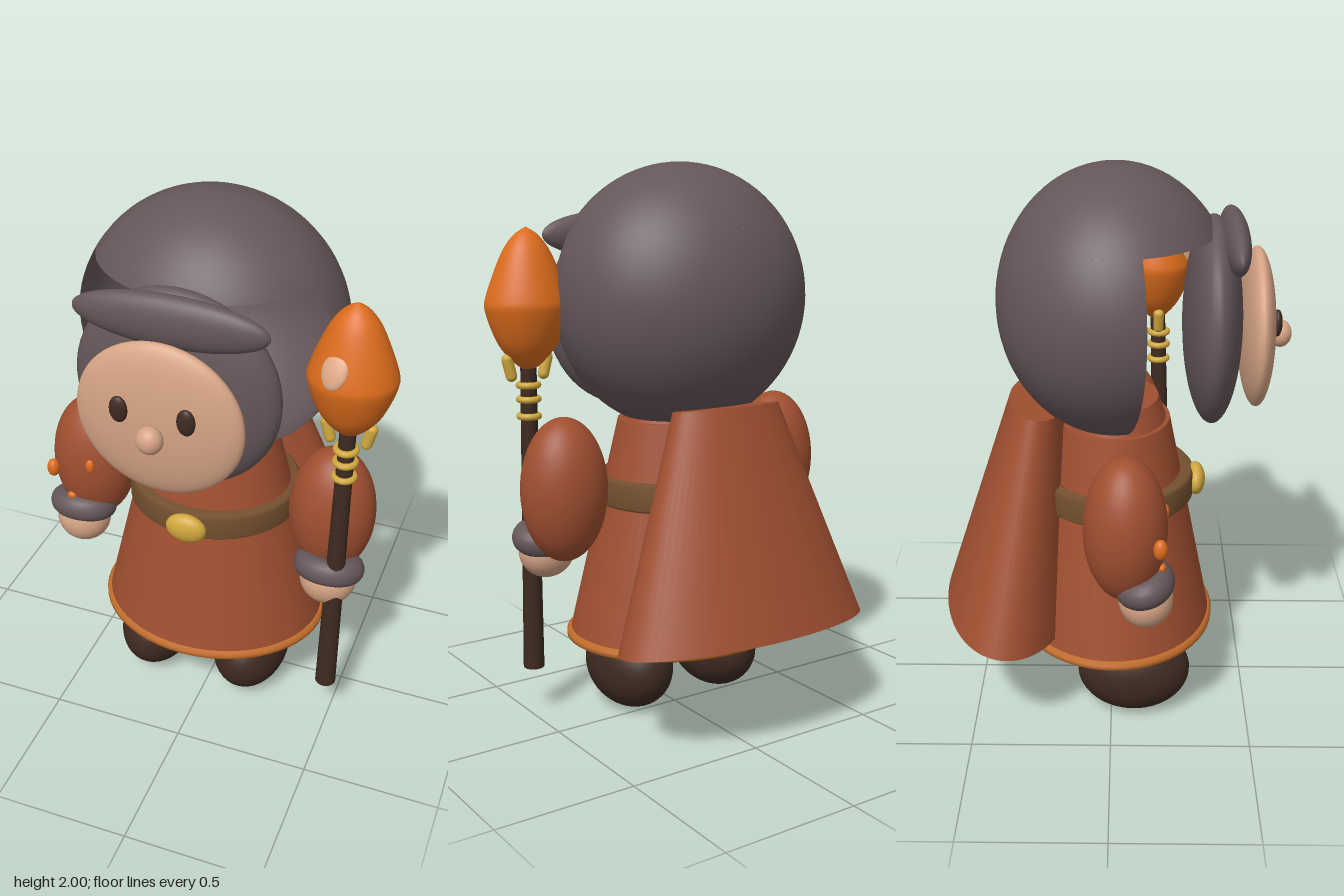
import * as THREE from 'three';

const CX = -0.03; // centre line of the body

export function createModel() {
  const model = new THREE.Group();
  model.name = 'cloakedFigure';

  const mat = (name, color, side = THREE.FrontSide) => {
    const m = new THREE.MeshStandardMaterial({ color, side });
    m.name = name;
    return m;
  };
  const grey = mat('hoodGrey', 0x655659, THREE.DoubleSide);
  const rust = mat('rustCloth', 0xa04f30);
  const orange = mat('flameOrange', 0xdc6c1c);
  const trim = mat('hemOrange', 0xc06c2a);
  const skin = mat('skin', 0xd6a485);
  const dark = mat('darkBrown', 0x3e2a20);
  const gold = mat('gold', 0xd0a83e);
  const leather = mat('beltBrown', 0x74502f);
  const legBrown = mat('legBrown', 0x946840);
  const glint = mat('paleGlow', 0xdfaa86);

  const add = (name, geometry, material, x = 0, y = 0, z = 0) => {
    const mesh = new THREE.Mesh(geometry, material);
    mesh.name = name;
    mesh.position.set(x, y, z);
    model.add(mesh);
    return mesh;
  };
  const ball = (name, material, [x, y, z], [rx, ry, rz]) => {
    const mesh = add(name, new THREE.SphereGeometry(1, 40, 28), material, x, y, z);
    mesh.scale.set(rx, ry, rz);
    return mesh;
  };
  const lathe = (points, segments = 48) =>
    new THREE.LatheGeometry(points.map(([r, y]) => new THREE.Vector2(r, y)), segments);

  // Hood: full crown above, open at the front below the crown
  const crownAngle = 1.01;
  const opening = THREE.MathUtils.degToRad(15);
  const hoodParts = {
    hoodCrown: new THREE.SphereGeometry(1, 48, 14, 0, Math.PI * 2, 0, crownAngle),
    hoodSides: new THREE.SphereGeometry(1, 40, 24, Math.PI - opening, Math.PI + 2 * opening, crownAngle, 2.93 - crownAngle),
  };
  for (const [name, geometry] of Object.entries(hoodParts)) {
    add(name, geometry, grey, CX, 1.53, 0.01).scale.set(0.47, 0.47, 0.41);
  }
  ball('hoodRim', grey, [CX, 1.46, 0.347], [0.355, 0.362, 0.103]);
  ball('hoodBrim', grey, [CX + 0.005, 1.742, 0.415], [0.328, 0.09, 0.05]);

  // Face
  ball('face', skin, [CX, 1.435, 0.5], [0.285, 0.277, 0.063]);
  ball('nose', skin, [CX, 1.41, 0.585], [0.045, 0.048, 0.04]);
  for (const s of [-1, 1]) {
    ball(s < 0 ? 'rightEye' : 'leftEye', dark, [CX + s * 0.113, 1.485, 0.56], [0.031, 0.047, 0.017]);
  }

  // Robe with collar, hem and belt, all slightly flattened front to back
  const flatten = 0.84;
  const robe = add('robe', new THREE.CylinderGeometry(0.235, 0.425, 0.79, 56), rust, CX, 0.705, 0.01);
  const collar = add('collar', new THREE.CylinderGeometry(0.185, 0.225, 0.1, 48), rust, CX, 1.13, 0.01);
  const hem = add('hem', lathe([[0, 0.295], [0.425, 0.295], [0.437, 0.303], [0.437, 0.318], [0.425, 0.33], [0.4, 0.33]], 56), trim, CX, 0, 0.01);
  const belt = add('belt', lathe([[0.28, 0.8], [0.307, 0.8], [0.318, 0.81], [0.318, 0.89], [0.307, 0.9], [0.26, 0.9]], 56), leather, CX, 0, 0.01);
  for (const part of [robe, collar, hem, belt]) part.scale.z = flatten;
  belt.scale.z = 0.9;
  ball('buckle', gold, [CX, 0.85, 0.305], [0.075, 0.057, 0.035]);

  // Cape: a tilted, flattened cone hanging behind
  const cape = add('cape', new THREE.CylinderGeometry(0.43, 1, 0.787, 64), rust, CX - 0.007, 0.778, -0.322);
  cape.scale.set(0.5, 1, 0.237);
  cape.rotation.x = 0.15;

  // Legs and boots
  for (const s of [-1, 1]) {
    const side = s < 0 ? 'right' : 'left';
    const x = -0.043 + s * 0.193;
    add(side + 'Leg', new THREE.CylinderGeometry(0.085, 0.085, 0.2, 32), legBrown, x, 0.27, 0);
    ball(side + 'Boot', dark, [x, 0.167, 0.083], [0.143, 0.162, 0.207]);
  }

  // Arms, cuffs and hands
  const arms = [
    { side: 'right', arm: [-0.497, 0.885, 0.05], wrist: [-0.528, 0.698, 0.115] },
    { side: 'left', arm: [0.432, 0.875, 0.05], wrist: [0.455, 0.69, 0.14] },
  ];
  for (const { side, arm, wrist } of arms) {
    ball(side + 'Sleeve', rust, arm, [0.157, 0.257, 0.142]);
    const cuff = add(side + 'Cuff', new THREE.TorusGeometry(0.08, 0.05, 20, 40), grey, ...wrist);
    cuff.rotation.x = Math.PI / 2 - 0.25;
    cuff.scale.y = 0.8;
    ball(side + 'Hand', skin, [wrist[0], 0.64, wrist[2] + 0.005], [0.103, 0.1, 0.093]);
  }

  // Small studs on the right sleeve
  ball('sleeveStud', orange, [-0.617, 0.872, 0.165], [0.024, 0.036, 0.024]);
  ball('sleeveStud', orange, [-0.455, 0.928, 0.183], [0.017, 0.028, 0.014]);
  ball('sleeveStud', orange, [-0.545, 0.766, 0.172], [0.018, 0.014, 0.014]);

  // Staff with bindings, claws and flame
  const staff = add('staff', new THREE.CylinderGeometry(0.028, 0.038, 1.14, 24), dark, 0.492, 0.755, 0.188);
  staff.rotation.set(-0.03, 0, -0.011);
  for (const y of [1.125, 1.185, 1.235]) {
    add('staffBinding', new THREE.TorusGeometry(0.033, 0.012, 12, 32), gold, 0.497, y, 0.176).rotation.x = Math.PI / 2;
  }
  for (const s of [-1, 1]) {
    const claw = add('staffClaw', new THREE.CapsuleGeometry(0.02, 0.06, 6, 16), gold, 0.501 + s * 0.07, 1.3, 0.173);
    claw.rotation.z = -s * 0.25;
  }
  const flameCurve = new THREE.SplineCurve([
    [0, 1.285], [0.045, 1.31], [0.105, 1.38], [0.147, 1.49], [0.143, 1.55],
    [0.09, 1.685], [0.045, 1.75], [0, 1.78],
  ].map(([r, y]) => new THREE.Vector2(r, y)));
  const flamePoints = flameCurve.getPoints(36).map((p) => [Math.max(p.x, 0), p.y]);
  add('flame', lathe(flamePoints, 40), orange, 0.5, 0, 0.165).scale.z = 0.89;
  const glow = ball('flameGlint', glint, [0.466, 1.585, 0.266], [0.046, 0.066, 0.02]);
  glow.rotation.set(-0.45, -0.25, -0.15);

  return model;
}
